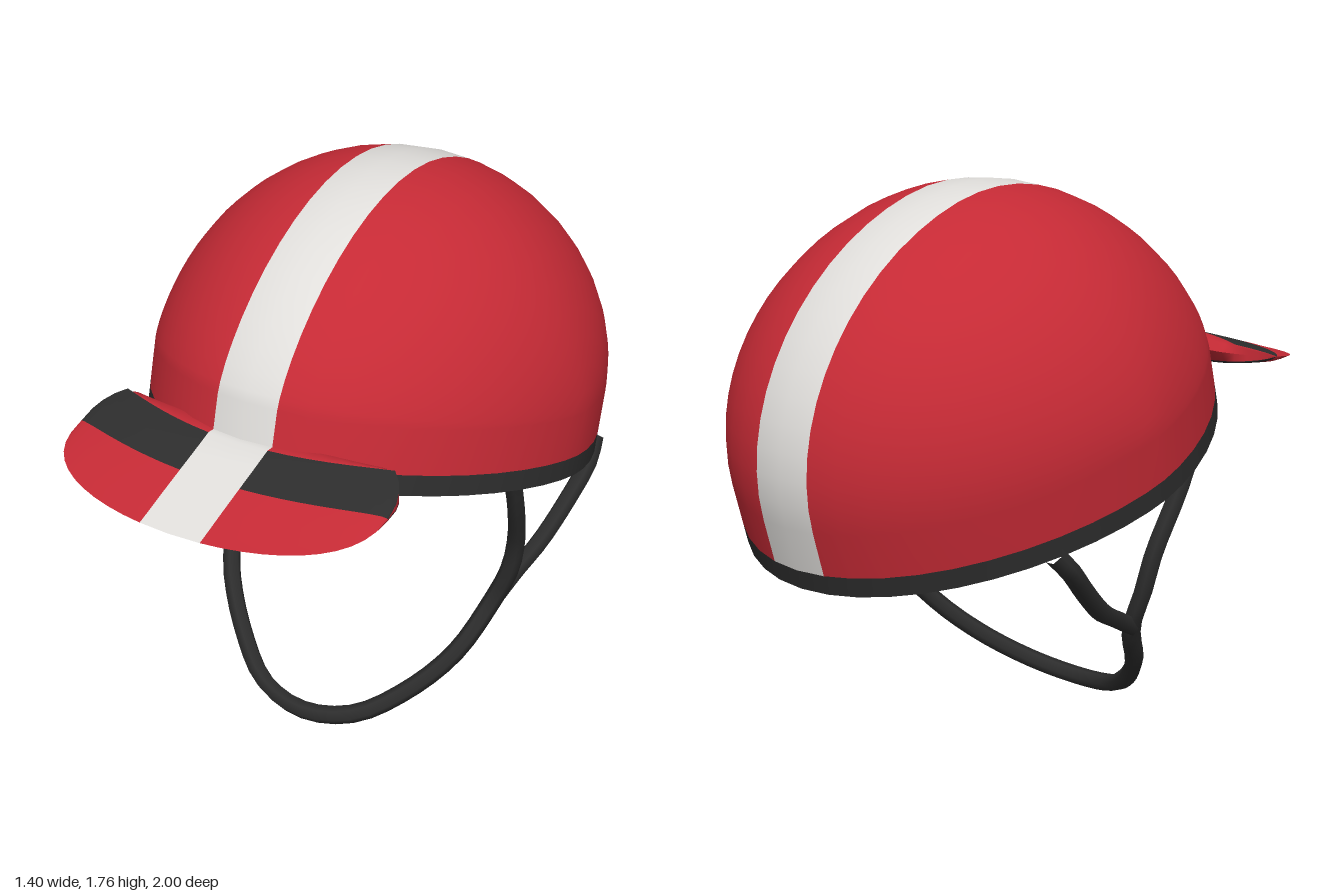
import * as THREE from 'three';
import { mergeVertices } from 'three/addons/utils/BufferGeometryUtils.js';

const paint = (name, color) => new THREE.MeshStandardMaterial({ name, color });

// Surface from a grid of points; colour(i, j) picks the material index of each cell
function grid(name, mats, cols, rows, point, colour, flip) {
  const pos = [], cells = mats.map(() => []);
  for (let i = 0; i < cols; i++) for (let j = 0; j < rows; j++) pos.push(...point(i, j));
  for (let i = 0; i < cols - 1; i++) {
    for (let j = 0; j < rows - 1; j++) {
      const a = i * rows + j, b = a + rows, c = b + 1, d = a + 1;
      cells[colour(i, j)].push(...(flip ? [a, c, b, a, d, c] : [a, b, c, a, c, d]));
    }
  }
  let geo = new THREE.BufferGeometry();
  geo.setAttribute('position', new THREE.Float32BufferAttribute(pos, 3));
  geo.setIndex(cells.flat());
  let start = 0;
  cells.forEach((list, m) => {
    if (list.length) geo.addGroup(start, list.length, m);
    start += list.length;
  });
  geo = mergeVertices(geo);
  geo.computeVertexNormals();
  const mesh = new THREE.Mesh(geo, mats);
  mesh.name = name;
  return mesh;
}

// Columns across x from -r to r, with breaks exactly at the stripe edges
const STRIPE = 0.1, SIDE = 11;
function columns(r) {
  const t0 = Math.asin(STRIPE / r), xs = [];
  for (let k = 0; k <= SIDE; k++) xs.push(r * Math.sin(t0 + (Math.PI / 2 - t0) * k / SIDE));
  return [...xs.slice().reverse().map(x => -x), 0, ...xs];
}
const inStripe = i => i === SIDE || i === SIDE + 1;

export function createModel() {
  const red = paint('red shell', 0xc52a35);
  const white = paint('white stripe', 0xe0dedb);
  const black = paint('black trim', 0x2d2d2d);
  const mats = [red, white, black];
  const model = new THREE.Group();
  model.name = 'helmet';

  // Shell, built upright and then tilted back
  const shell = new THREE.Group();
  shell.name = 'shell';
  shell.position.set(0, 0.9, -0.15);
  shell.rotation.x = -0.272;
  model.add(shell);

  const ARC = 28, ROWS = ARC + 5, WALL = 0.2;
  // Slices at constant x: short wall, arch that slopes more towards the brow, short wall
  function dome(halfWidth, front, back, height, trim) {
    const xs = columns(halfWidth);
    return {
      cols: xs.length,
      point(i, j) {
        const s = Math.max(0, 1 - (xs[i] / halfWidth) ** 2) ** 0.56;
        const k = THREE.MathUtils.clamp(j - 2, 0, ARC);
        const a = Math.PI * k / ARC;
        const c = Math.cos(a), brow = c > 0;
        const lift = Math.max(0, Math.sin(a)) ** (brow ? 1.36 : 1);
        const edge = Math.min(j, ROWS - 1 - j);
        const y = edge === 0 ? 0 : edge === 1 ? trim : WALL + height * s * lift;
        return [xs[i], y, 0.02 + s * c * (brow ? front : back)];
      },
    };
  }
  const outer = dome(0.7, 0.82, 0.825, 0.665, 0.062);
  const inner = dome(0.59, 0.71, 0.725, 0.58, 0.08);
  const isTrim = j => j === 0 || j === ROWS - 2;
  shell.add(grid('outerShell', mats, outer.cols, ROWS, outer.point,
    (i, j) => isTrim(j) ? 2 : inStripe(i) ? 1 : 0, false));
  shell.add(grid('liner', mats, inner.cols, ROWS, inner.point,
    (i, j) => inStripe(i) && !isTrim(j) ? 1 : 2, true));

  // Flat underside of the rim, front and back halves
  for (const [name, row, colour, flip] of [
    ['frontRim', 0, () => 2, true],
    ['backRim', ROWS - 1, i => inStripe(i) ? 1 : 2, false],
  ]) {
    shell.add(grid(name, mats, outer.cols, 2,
      (i, j) => (j ? inner : outer).point(i, row), colour, flip));
  }

  // Peak: arched top and shallow underside closing in a thin edge all round
  const peak = new THREE.Group();
  peak.name = 'peak';
  model.add(peak);
  const W = 0.52, px = columns(W);
  const RISE = [0, 0.04, 0.055, 0.043, 0.032, 0.018, 0.006, 0];
  const DROP = [0, -0.045, -0.055, -0.055, -0.05, -0.032, -0.011, 0];
  function peakPoint(i, j, offsets) {
    const x = px[i], r = Math.max(0, 1 - (x / W) ** 2) ** 0.4;
    const back = Math.max(0.53, 0.7 - 0.27 * r), front = 0.7 + 0.3 * r;
    // Band edges bow backwards towards the sides
    const b0 = Math.max(back, 0.655 - 0.5 * x * x), b1 = Math.min(front, 0.8 - 0.36 * x * x);
    const lerp = t => b1 + (front - b1) * t;
    const z = [back, (back + b0) / 2, b0, (b0 + b1) / 2, b1, lerp(0.45), lerp(0.8), front][j];
    return [x, 1.1 + 0.17 * (1 - z) + r * offsets[j], z];
  }
  const banded = (first, last) => (i, j) => inStripe(i) ? 1 : j >= first && j <= last ? 2 : 0;
  peak.add(grid('peakTop', mats, px.length, 8,
    (i, j) => peakPoint(i, j, RISE), banded(2, 3), true));
  peak.add(grid('peakUnderside', mats, px.length, 8,
    (i, j) => peakPoint(i, j, DROP), banded(1, 2), false));

  // Chin strap: one loop under the chin plus a rear branch on each side
  const strap = new THREE.Group();
  strap.name = 'chinStrap';
  model.add(strap);
  const tube = (name, pts, segments) => {
    const curve = new THREE.CatmullRomCurve3(pts.map(p => new THREE.Vector3(...p)));
    const mesh = new THREE.Mesh(new THREE.TubeGeometry(curve, segments, 0.03, 6), black);
    mesh.name = name;
    strap.add(mesh);
  };
  const half = [
    [0.61, 0.98, 0.11], [0.6, 0.86, 0.06], [0.57, 0.68, -0.015], [0.545, 0.56, -0.03],
    [0.495, 0.43, -0.02], [0.425, 0.27, 0.09], [0.31, 0.145, 0.2], [0.17, 0.06, 0.295],
  ];
  const mirrored = half.map(([x, y, z]) => [-x, y, z]).reverse();
  tube('chinLoop', [...half, [0, 0.032, 0.33], ...mirrored], 48);
  for (const s of [1, -1]) {
    tube(s > 0 ? 'leftRearStrap' : 'rightRearStrap', [
      [0.595 * s, 0.81, -0.52], [0.605 * s, 0.75, -0.46], [0.585 * s, 0.66, -0.37],
      [0.55 * s, 0.55, -0.24], [0.52 * s, 0.49, -0.13], [0.495 * s, 0.43, -0.02],
    ], 14);
  }
  return model;
}
